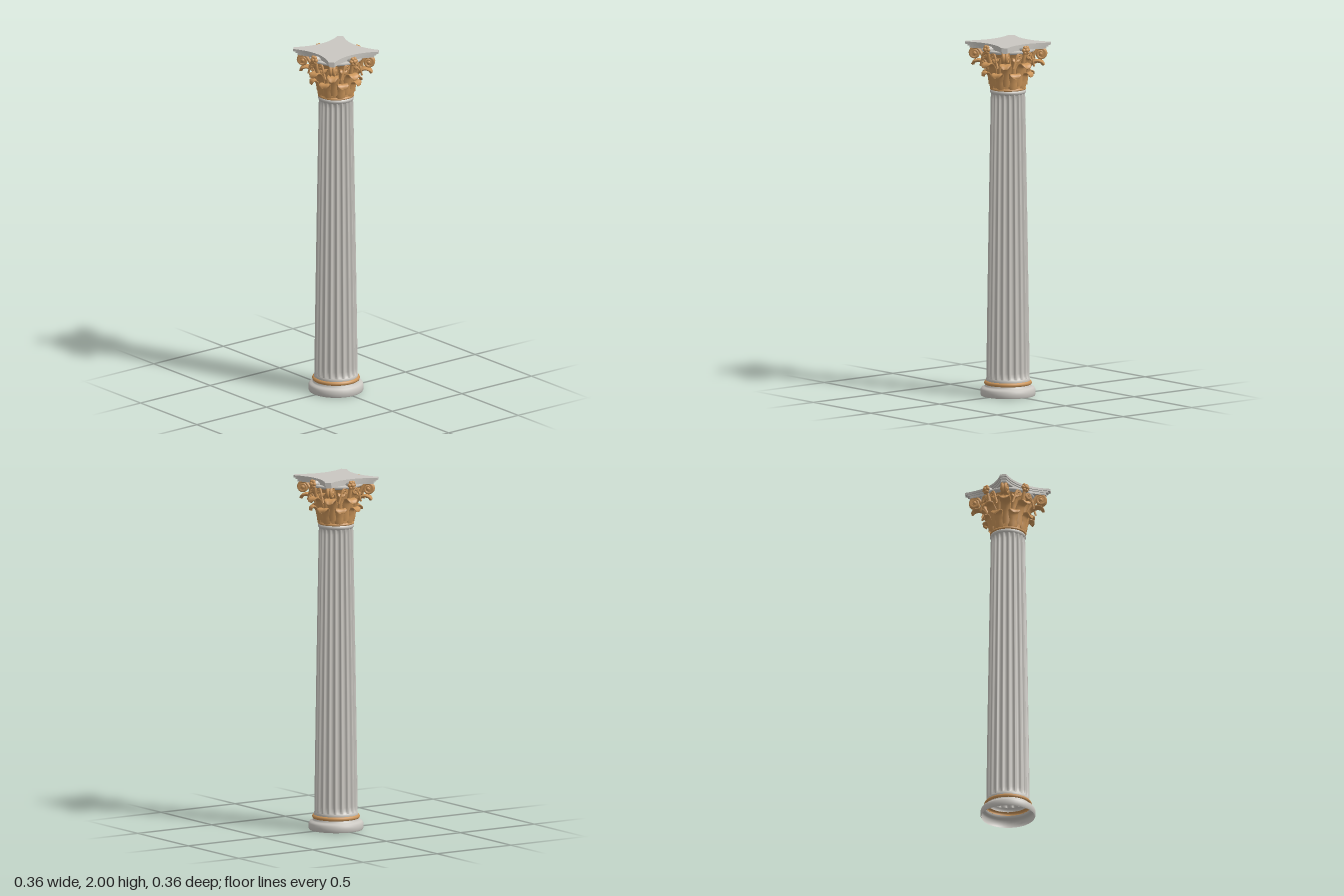
import * as THREE from 'three';

const V2 = (x, y) => new THREE.Vector2(x, y);

export function createModel() {
  const stone = new THREE.MeshStandardMaterial({ color: 0xcac7c1, side: THREE.DoubleSide });
  stone.name = 'pale stone';
  const gold = new THREE.MeshStandardMaterial({ color: 0xcb955a, side: THREE.DoubleSide });
  gold.name = 'warm gold';

  const column = new THREE.Group();
  column.name = 'column';

  const add = (name, geometry, material, parent = column) => {
    const mesh = new THREE.Mesh(geometry, material);
    mesh.name = name;
    parent.add(mesh);
    return mesh;
  };
  const lathe = (name, pts, material) =>
    add(name, new THREE.LatheGeometry(pts.map(([r, y]) => V2(r, y)), 48), material);

  // Indexed surface from rings of points, each ring closed
  const loft = (rings, sides, point) => {
    const pos = [], idx = [];
    for (let i = 0; i <= rings; i++)
      for (let j = 0; j < sides; j++) pos.push(...point(i / rings, j / sides));
    for (let i = 0; i < rings; i++)
      for (let j = 0; j < sides; j++) {
        const a = i * sides + j, b = i * sides + (j + 1) % sides;
        idx.push(a, a + sides, b, b, a + sides, b + sides);
      }
    const g = new THREE.BufferGeometry();
    g.setAttribute('position', new THREE.Float32BufferAttribute(pos, 3));
    g.setIndex(idx);
    g.computeVertexNormals();
    return g;
  };

  // Base mouldings, hollow underneath
  lathe('baseFoot', [[0.15, 0], [0.154, 0.008], [0.155, 0.022], [0.153, 0.036], [0.147, 0.046],
    [0.134, 0.05], [0.129, 0.056], [0.127, 0.064]], stone);
  lathe('baseGoldRing', [[0.125, 0.062], [0.131, 0.065], [0.134, 0.073], [0.131, 0.081], [0.122, 0.085]], gold);
  lathe('baseCollar', [[0.123, 0.084], [0.124, 0.092], [0.121, 0.1], [0.117, 0.106]], stone);

  // Fluted, tapering shaft; flutes fade out at both ends
  const FLUTES = 20;
  add('shaft', loft(32, FLUTES * 10, (t, u) => {
    const s = 0.5 - 0.5 * Math.cos(Math.PI * t);
    const radius = 0.121 - 0.025 * Math.pow(s, 1.15);
    const f = (u * FLUTES) % 1;
    const groove = Math.sqrt(Math.max(0, 1 - Math.pow((f - 0.5) / 0.4, 2)));
    const fade = Math.min(1, Math.min(s, 1 - s) / 0.012);
    const r = radius - 0.011 * groove * fade;
    const a = -u * Math.PI * 2;
    return [r * Math.sin(a), 0.1 + 1.615 * s, r * Math.cos(a)];
  }), stone);
  lathe('neckRing', [[0.094, 1.708], [0.099, 1.714], [0.101, 1.721], [0.099, 1.728], [0.094, 1.732]], stone);

  // Capital core
  lathe('capitalRing', [[0.094, 1.73], [0.101, 1.733], [0.102, 1.739], [0.096, 1.745]], gold);
  lathe('capitalBell', [[0.094, 1.74], [0.096, 1.8], [0.101, 1.86], [0.112, 1.91], [0.13, 1.945]], gold);
  lathe('bellLip', [[0.13, 1.943], [0.146, 1.95], [0.151, 1.957], [0.146, 1.964], [0.1, 1.966]], stone);

  // Curling leaf: path of (radius, height), flattened section, lobed edges
  const leaf = (path, width, thick) => {
    const curve = new THREE.SplineCurve(path.map(([r, y]) => V2(r, y)));
    return loft(22, 12, (t, u) => {
      const p = curve.getPoint(t), d = curve.getTangent(t);
      const lobes = 0.84 + 0.16 * Math.abs(Math.sin(t * Math.PI * 4.5));
      const w = width * lobes * (t < 0.7 ? 0.8 + 0.3 * t : 1.01 * Math.sqrt(Math.max(0, 1 - Math.pow((t - 0.7) / 0.3, 2))));
      const a = u * Math.PI * 2, c = Math.cos(a);
      // Raised midrib with the sides falling back
      const n = thick * Math.sin(a) * (t > 0.99 ? 0 : 1) + 0.004 * (1 - 2 * Math.abs(c));
      return [w * c, p.y - d.x * n, p.x + d.y * n];
    });
  };
  const ring = (name, geometry, count, offset) => {
    const group = new THREE.Group();
    group.name = name;
    for (let i = 0; i < count; i++)
      add('leaf', geometry, gold, group).rotation.y = (i + offset) * Math.PI * 2 / count;
    column.add(group);
  };
  ring('lowerLeaves', leaf([[0.095, 1.742], [0.101, 1.78], [0.109, 1.815], [0.125, 1.832], [0.141, 1.825],
    [0.144, 1.808]], 0.034, 0.006), 8, 0.5);
  ring('upperAxisLeaves', leaf([[0.097, 1.76], [0.104, 1.82], [0.116, 1.868], [0.14, 1.889], [0.164, 1.882],
    [0.172, 1.864]], 0.034, 0.007), 4, 0);
  ring('upperCornerLeaves', leaf([[0.097, 1.76], [0.106, 1.82], [0.122, 1.868], [0.155, 1.892], [0.188, 1.888],
    [0.202, 1.868]], 0.034, 0.007), 4, 0.5);
  ring('stalkLeaves', leaf([[0.1, 1.82], [0.108, 1.87], [0.12, 1.905], [0.137, 1.92], [0.148, 1.912],
    [0.149, 1.9]], 0.022, 0.006), 8, 0.5);

  // Spiral scroll: a stem rising from the start point into a coil
  const scroll = (start, centre, radius, thick) => {
    const pts = [start];
    for (let i = 0; i <= 26; i++) {
      const k = i / 26, a = Math.PI * 0.72 - k * Math.PI * 3.6, r = radius * (1 - 0.78 * k);
      pts.push([centre[0] + r * Math.cos(a), centre[1] + r * Math.sin(a)]);
    }
    const curve = new THREE.CatmullRomCurve3(pts.map(([r, y]) => new THREE.Vector3(0, y, r)));
    return new THREE.TubeGeometry(curve, 72, thick, 8);
  };

  // Paired scrolls under each corner of the top slab
  const cornerScroll = scroll([0.108, 1.855], [0.187, 1.935], 0.031, 0.0085);
  const scrollEye = new THREE.SphereGeometry(0.013, 12, 8);
  for (let i = 0; i < 4; i++) {
    const corner = new THREE.Group();
    corner.name = 'cornerScrolls';
    corner.rotation.y = (i + 0.5) * Math.PI / 2;
    for (const s of [-1, 1]) {
      const side = new THREE.Group();
      side.name = 'scrollSide';
      side.position.x = s * 0.036;
      side.rotation.y = -s * 0.13;
      add('scroll', cornerScroll, gold, side);
      add('scrollEye', scrollEye, gold, side).position.set(0, 1.935, 0.187);
      corner.add(side);
    }
    const web = add('scrollWeb', new THREE.CylinderGeometry(0.026, 0.026, 0.034, 20), gold, corner);
    web.rotation.z = Math.PI / 2;
    web.position.set(0, 1.935, 0.187);
    column.add(corner);
  }

  // Inner scrolls and flower on each face
  const innerScroll = scroll([-0.075, 1.87], [-0.034, 1.932], 0.018, 0.006);
  innerScroll.rotateY(Math.PI / 2);
  const petal = new THREE.SphereGeometry(0.011, 10, 8);
  for (let i = 0; i < 4; i++) {
    const face = new THREE.Group();
    face.name = 'faceOrnament';
    face.rotation.y = i * Math.PI / 2;
    for (const s of [-1, 1]) {
      const curl = add('innerScroll', innerScroll, gold, face);
      curl.position.z = 0.138;
      curl.scale.x = s;
    }
    const stem = add('flowerStem', new THREE.CylinderGeometry(0.009, 0.013, 0.08, 10), gold, face);
    stem.position.set(0, 1.92, 0.137);
    stem.rotation.x = 0.25;
    const back = add('flowerBack', new THREE.CylinderGeometry(0.018, 0.018, 0.034, 16), stone, face);
    back.rotation.x = Math.PI / 2;
    back.position.set(0, 1.97, 0.137);
    for (let k = 0; k < 6; k++) {
      const a = k * Math.PI / 3;
      const p = add('petal', petal, gold, face);
      p.position.set(0.016 * Math.cos(a), 1.97 + 0.016 * Math.sin(a), 0.157);
    }
    add('flowerHeart', new THREE.SphereGeometry(0.013, 12, 8), gold, face).position.set(0, 1.97, 0.163);
    column.add(face);
  }

  // Top slab with four hollowed sides and clipped corners
  const slab = (name, scale, y, height) => {
    const shape = new THREE.Shape();
    const a = 0.181 * scale, b = 0.157 * scale, c = 0.088 * scale;
    shape.moveTo(a, -b);
    shape.quadraticCurveTo(c, 0, a, b);
    shape.lineTo(b, a);
    shape.quadraticCurveTo(0, c, -b, a);
    shape.lineTo(-a, b);
    shape.quadraticCurveTo(-c, 0, -a, -b);
    shape.lineTo(-b, -a);
    shape.quadraticCurveTo(0, -c, b, -a);
    shape.closePath();
    const g = new THREE.ExtrudeGeometry(shape, { depth: height, bevelEnabled: false, curveSegments: 16 });
    g.rotateX(-Math.PI / 2);
    add(name, g, stone).position.y = y;
  };
  slab('topSlabLower', 0.9, 1.965, 0.013);
  slab('topSlabMiddle', 0.95, 1.978, 0.009);
  slab('topSlab', 1, 1.987, 0.013);

  return column;
}
